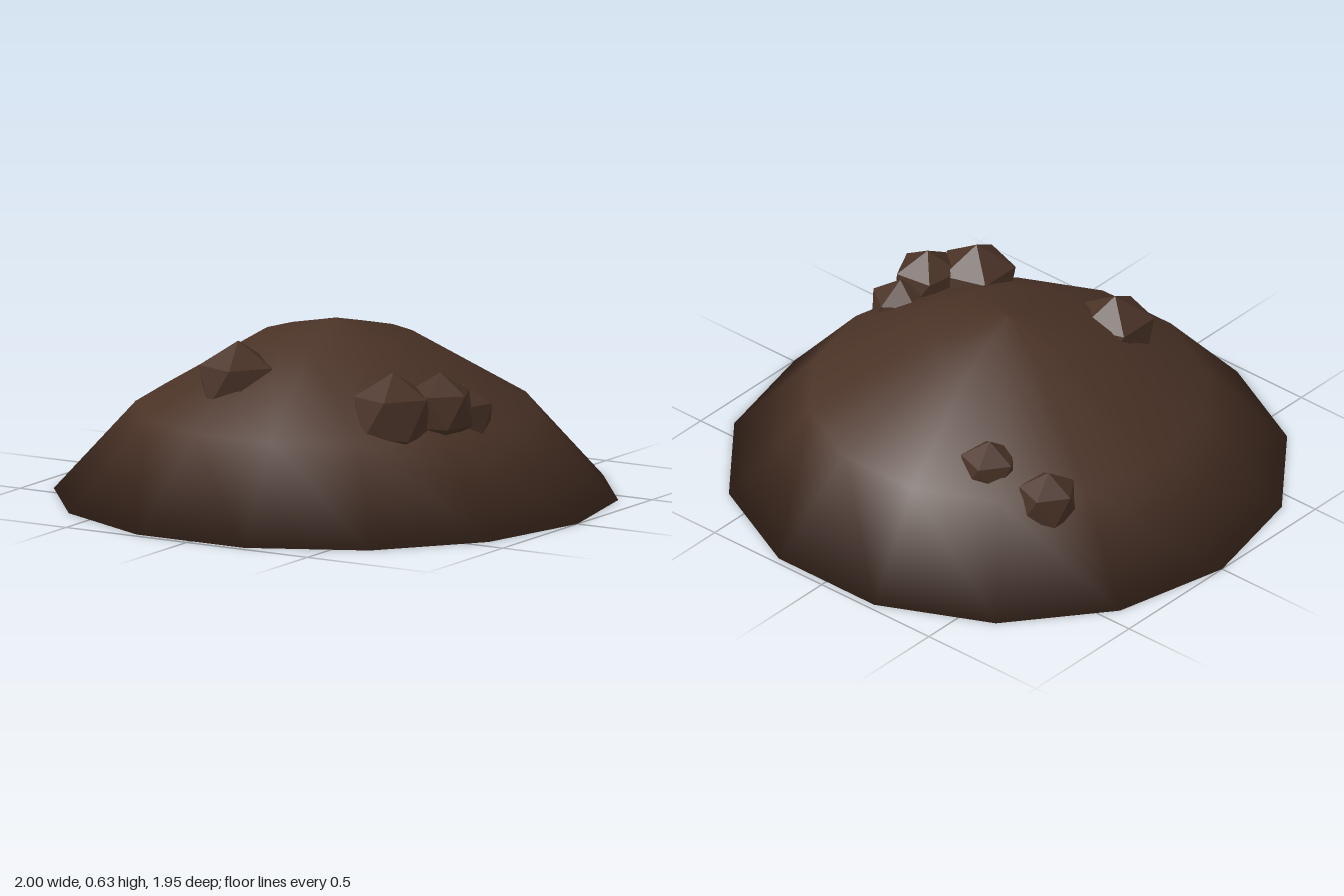
import * as THREE from 'three';

export function createModel() {
  const model = new THREE.Group();
  model.name = 'dirtMound';

  const soil = new THREE.MeshStandardMaterial({ color: 0x4a3226 });
  soil.name = 'dark soil';
  const clod = new THREE.MeshStandardMaterial({ color: 0x4a3327, flatShading: true });
  clod.name = 'soil clod';

  // Smooth fourteen-sided mound with a closed flat underside
  const profile = [[0, 0], [1, 0], [0.71, 0.32], [0.285, 0.57], [0, 0.635]]
    .map(([r, y]) => new THREE.Vector2(r, y));
  const mound = new THREE.Mesh(new THREE.LatheGeometry(profile, 14, Math.PI / 2), soil);
  mound.name = 'mound';
  model.add(mound);

  // Faceted clod with one corner pointing up; spin aims a side corner from +z towards +x
  function addClod(name, x, y, z, radius, spin) {
    const geometry = new THREE.IcosahedronGeometry(radius, 0);
    geometry.rotateX(-Math.atan((1 + Math.sqrt(5)) / 2));
    geometry.rotateY(THREE.MathUtils.degToRad(spin));
    const mesh = new THREE.Mesh(geometry, clod);
    mesh.name = name;
    mesh.position.set(x, y, z);
    model.add(mesh);
  }

  // Lone clod on the front slope
  addClod('frontClod', -0.17, 0.445, 0.38, 0.155, 90);

  // Overlapping cluster on the left slope
  addClod('clusterClodLarge', 0.46, 0.395, 0.36, 0.155, 90);
  addClod('clusterClodMiddle', 0.575, 0.41, 0.23, 0.13, 80);
  addClod('clusterClodSmall', 0.59, 0.36, 0.1, 0.115, 180);

  // Half-buried pair on the back slope
  addClod('backClodOuter', -0.545, 0.3, -0.41, 0.115, 126);
  addClod('backClodInner', -0.31, 0.355, -0.455, 0.113, 126);

  return model;
}
